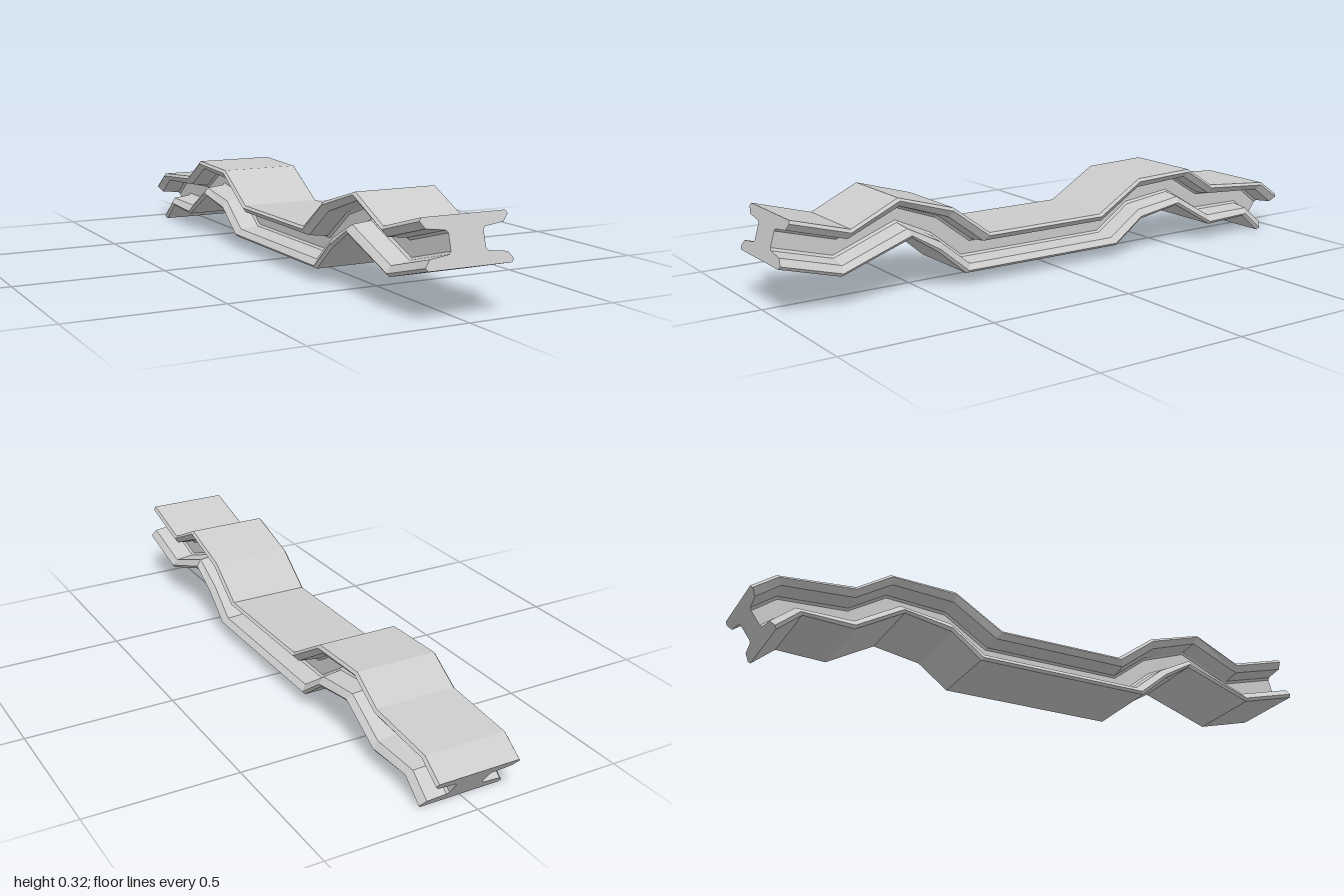
import * as THREE from 'three';

// Beam stations from front to back: top edge [z, y], bottom edge [z, y]
const STATIONS = [
  [0.96, 0.297, 1.0, 0.156],
  [0.765, 0.242, 0.8, 0.102],
  [0.605, 0.317, 0.56, 0.185],
  [0.41, 0.26, 0.465, 0.125],
  [0.275, 0.161, 0.367, 0.042],
  [-0.165, 0.161, -0.24, 0.042],
  [-0.335, 0.263, -0.345, 0.12],
  [-0.56, 0.27, -0.507, 0.148],
  [-0.67, 0.2, -0.667, 0.056],
  [-0.925, 0.178, -0.835, 0.064],
  [-1.0, 0.125, -0.91, 0],
];

// I-section: [x, fraction of height], lower right quarter, then mirrored twice
function iSection() {
  const quarter = [[0.1365, 0], [0.144, 0.07], [0.127, 0.22], [0.064, 0.275], [0.057, 0.33]];
  const upper = quarter.map(([x, t]) => [x, 1 - t]).reverse();
  const right = [...quarter, ...upper];
  const left = right.map(([x, t]) => [-x, t]).reverse();
  return [...right, ...left];
}

// Sweeps the section through the stations and closes both ends
function sweptBeam(section, stations) {
  const rings = stations.map(([zt, yt, zb, yb]) => section.map(([x, t]) =>
    [x, THREE.MathUtils.lerp(yb, yt, t), THREE.MathUtils.lerp(zb, zt, t)]));
  const positions = [];
  const tri = (a, b, c) => positions.push(...a, ...b, ...c);
  const n = section.length;

  for (let i = 0; i < rings.length - 1; i++) {
    for (let j = 0; j < n; j++) {
      const k = (j + 1) % n;
      const a = rings[i][j], b = rings[i][k], c = rings[i + 1][j], d = rings[i + 1][k];
      tri(a, c, b);
      tri(b, c, d);
    }
  }

  const outline = section.map(([x, t]) => new THREE.Vector2(x, t));
  const first = rings[0], last = rings[rings.length - 1];
  for (const [a, b, c] of THREE.ShapeUtils.triangulateShape(outline, [])) {
    tri(first[a], first[b], first[c]);
    tri(last[a], last[c], last[b]);
  }

  const geometry = new THREE.BufferGeometry();
  geometry.setAttribute('position', new THREE.Float32BufferAttribute(positions, 3));
  geometry.computeVertexNormals();
  return geometry;
}

export function createModel() {
  const model = new THREE.Group();
  model.name = 'bentBeam';
  const material = new THREE.MeshStandardMaterial({ color: 0xcccccc, flatShading: true });
  const beam = new THREE.Mesh(sweptBeam(iSection(), STATIONS), material);
  beam.name = 'beam';
  model.add(beam);
  return model;
}
